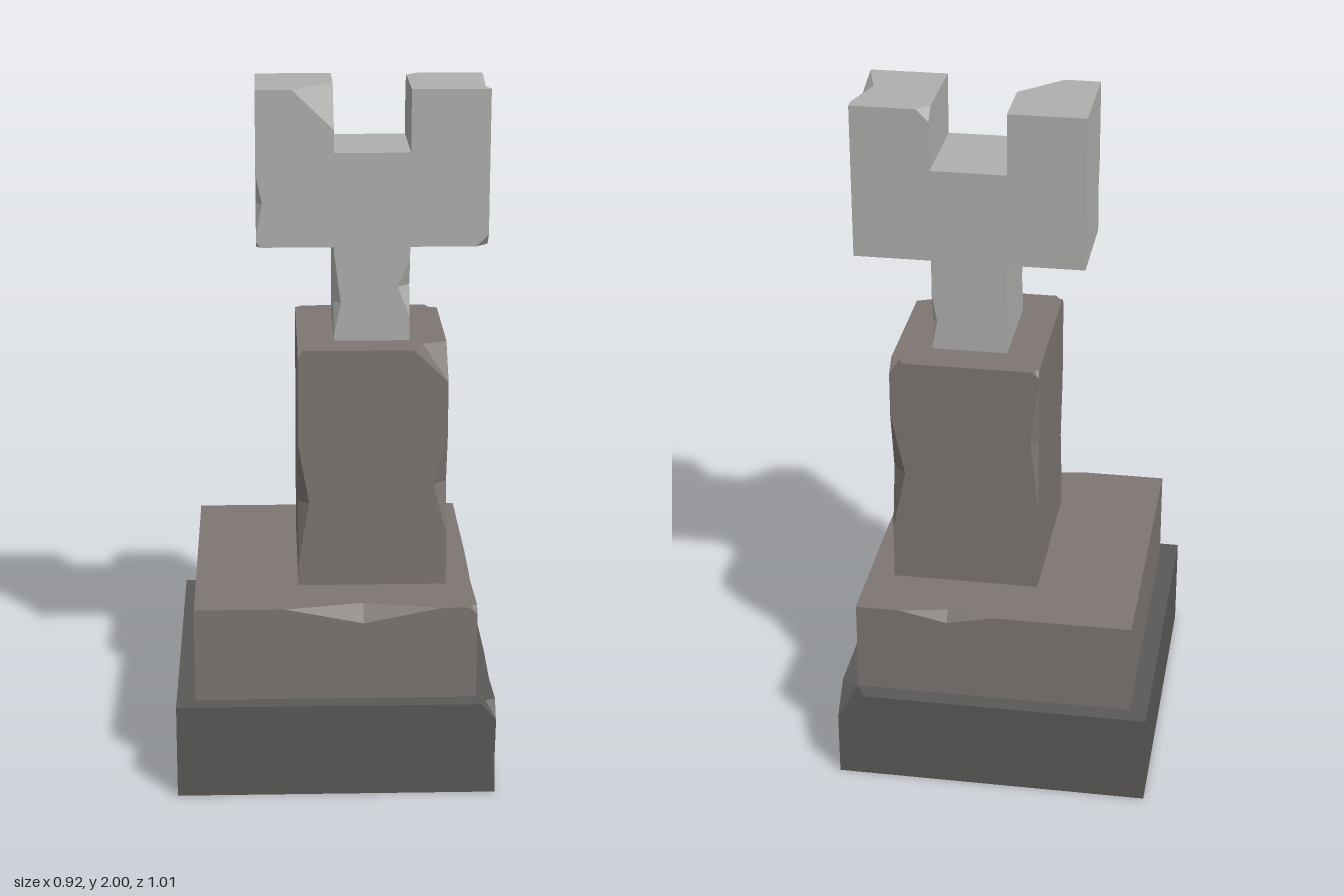
import * as THREE from 'three';

const V = (x, y, z) => new THREE.Vector3(x, y, z);

// Prism over a counter-clockwise outline, from depth h0 to h1 along z, with chipped stone edges.
// corners: { i, cap, prev, next, down, bend }  cut-off corner, sizes along its three edges
// edges:   { i, cap, t: [a, m, b], side, face } notch on the rim edge i -> i+1
// uprights:{ i, w: [a, m, b], d }              notch on the long edge at outline point i
function chippedPrism(outline, h0, h1, { corners = [], edges = [], uprights = [] }) {
  const n = outline.length;
  const pts = outline.map(([x, y]) => new THREE.Vector2(x, y));
  const wrap = (i) => (i + n) % n;
  const len = (i) => pts[i].distanceTo(pts[wrap(i + 1)]);
  const dir = (i) => pts[wrap(i + 1)].clone().sub(pts[wrap(i)]).normalize();
  const inward = (i) => { const d = dir(wrap(i)); return new THREE.Vector2(-d.y, d.x); };
  const corner = (i, cap) => corners.find((k) => k.i === wrap(i) && k.cap === cap);
  const edge = (i, cap) => edges.find((k) => k.i === i && k.cap === cap);
  const upright = (i) => uprights.find((k) => k.i === wrap(i));
  const height = (cap) => (cap ? h1 : h0);
  const onSide = (i, t, w) => {
    const p = pts[i].clone().addScaledVector(dir(i), t);
    return V(p.x, p.y, w);
  };
  // point near outline point i: back along the previous edge, forward along the next
  const near = (i, back, fwd, w) => {
    const p = pts[i].clone().addScaledVector(dir(wrap(i - 1)), -back).addScaledVector(dir(i), fwd);
    return V(p.x, p.y, w);
  };

  const pos = [];
  const tri = (a, b, c, out) => {
    const nrm = b.clone().sub(a).cross(c.clone().sub(a));
    const list = nrm.dot(out) >= 0 ? [a, b, c] : [a, c, b];
    list.forEach((p) => pos.push(p.x, p.y, p.z));
  };
  const polygon = (flat, solid, out) => {
    for (const [a, b, c] of THREE.ShapeUtils.triangulateShape(flat, [])) tri(solid[a], solid[b], solid[c], out);
  };

  // end caps
  for (const cap of [0, 1]) {
    const w = height(cap), loop = [];
    for (let i = 0; i < n; i++) {
      const k = corner(i, cap), e = edge(i, cap);
      if (k) {
        loop.push(near(i, k.prev, 0, w));
        if (k.bend) loop.push(near(i, k.bend, k.bend, w));
        loop.push(near(i, 0, k.next, w));
      } else loop.push(near(i, 0, 0, w));
      if (e) {
        const m = inward(i).multiplyScalar(e.face);
        loop.push(onSide(i, e.t[0], w), onSide(i, e.t[1], w).add(V(m.x, m.y, 0)), onSide(i, e.t[2], w));
      }
    }
    polygon(loop.map((p) => new THREE.Vector2(p.x, p.y)), loop, V(0, 0, cap ? 1 : -1));
  }

  // side faces
  for (let i = 0; i < n; i++) {
    const L = len(i), loop = [];
    const add = (t, w) => loop.push(new THREE.Vector2(t, w));
    const rim = (cap) => {
      const w = height(cap), s = cap ? -1 : 1, part = [];
      const a = corner(i, cap), e = edge(i, cap), b = corner(i + 1, cap);
      if (a) part.push([0, w + s * a.down], [a.next, w]); else part.push([0, w]);
      if (e) part.push([e.t[0], w], [e.t[1], w + s * e.side], [e.t[2], w]);
      if (b) part.push([L - b.prev, w], [L, w + s * b.down]); else part.push([L, w]);
      return part;
    };
    rim(0).forEach((p) => add(...p));
    const far = upright(i + 1), close = upright(i);
    if (far) { add(L, far.w[0]); add(L - far.d, far.w[1]); add(L, far.w[2]); }
    rim(1).reverse().forEach((p) => add(...p));
    if (close) { add(0, close.w[2]); add(close.d, close.w[1]); add(0, close.w[0]); }
    const o = inward(i);
    polygon(loop, loop.map((p) => onSide(i, p.x, p.y)), V(-o.x, -o.y, 0));
  }

  // broken faces of the chips
  const outAt = (i, z) => { const o = inward(i - 1).add(inward(i)); return V(-o.x, -o.y, z); };
  for (const k of corners) {
    const w = height(k.cap), s = k.cap ? 1 : -1, out = outAt(k.i, s);
    const a = near(k.i, k.prev, 0, w), b = near(k.i, 0, k.next, w), d = near(k.i, 0, 0, w - s * k.down);
    if (k.bend) {
      const q = near(k.i, k.bend, k.bend, w);
      tri(a, q, d, out);
      tri(q, b, d, out);
    } else tri(a, b, d, out);
  }
  for (const e of edges) {
    const w = height(e.cap), s = e.cap ? 1 : -1, o = inward(e.i), out = V(-o.x, -o.y, s);
    const p = onSide(e.i, e.t[1], w - s * e.side);
    const q = onSide(e.i, e.t[1], w).add(V(o.x * e.face, o.y * e.face, 0));
    tri(onSide(e.i, e.t[0], w), p, q, out);
    tri(onSide(e.i, e.t[2], w), p, q, out);
  }
  for (const u of uprights) {
    const out = outAt(u.i, 0), p = near(u.i, u.d, 0, u.w[1]), q = near(u.i, 0, u.d, u.w[1]);
    tri(near(u.i, 0, 0, u.w[0]), p, q, out);
    tri(near(u.i, 0, 0, u.w[2]), p, q, out);
  }

  const g = new THREE.BufferGeometry();
  g.setAttribute('position', new THREE.Float32BufferAttribute(pos, 3));
  g.computeVertexNormals();
  return g;
}

// Upright block; outline points run front left, front right, back right, back left
function block(x0, x1, z, y0, y1, chips) {
  return chippedPrism([[x0, -z], [x1, -z], [x1, z], [x0, z]], y0, y1, chips).rotateX(-Math.PI / 2);
}

const cut = (i, cap, prev, next, down, bend = 0) => ({ i, cap, prev, next, down, bend });
const notch = (i, cap, t, side, face) => ({ i, cap, t, side, face });
const nick = (i, w, d) => ({ i, w, d });

export function createModel() {
  const material = (name, color) => {
    const m = new THREE.MeshStandardMaterial({ color });
    m.name = name;
    return m;
  };
  const darkStone = material('darkStone', 0x5a5957);
  const brownStone = material('brownStone', 0x7d7672);
  const paleStone = material('paleStone', 0xafafad);

  const group = new THREE.Group();
  const add = (name, geometry, mat) => {
    const mesh = new THREE.Mesh(geometry, mat);
    mesh.name = name;
    group.add(mesh);
  };

  // stepped plinth
  add('base', block(-0.461, 0.461, 0.505, 0, 0.278, {
    corners: [cut(1, 1, 0.042, 0.04, 0.05, 0.028), cut(2, 1, 0.08, 0.083, 0.08, 0.051)],
    edges: [notch(1, 1, [0.045, 0.22, 0.385], 0.016, 0.019)],
    uprights: [nick(1, [0.04, 0.12, 0.2], 0.012)],
  }), darkStone);
  add('step', block(-0.407, 0.407, 0.451, 0.278, 0.556, {
    corners: [cut(1, 1, 0.025, 0.022, 0.02, 0.016)],
    edges: [
      notch(0, 1, [0.26, 0.487, 0.713], 0.045, 0.045),
      notch(1, 1, [0.04, 0.24, 0.42], 0.014, 0.013),
      notch(2, 1, [0.13, 0.27, 0.407], 0.03, 0.027),
    ],
  }), brownStone);

  // column, set to one side
  add('column', block(-0.104, 0.329, 0.261, 0.556, 1.27, {
    corners: [
      cut(0, 1, 0.022, 0.022, 0.022, 0.017), cut(1, 1, 0.1, 0.1, 0.095, 0.07),
      cut(2, 1, 0.037, 0.037, 0.037, 0.027), cut(3, 1, 0.018, 0.018, 0.018, 0.013),
    ],
    uprights: [
      nick(0, [0.62, 0.81, 0.99], 0.032), nick(1, [0.715, 0.865, 1.01], 0.04),
      nick(2, [0.72, 0.91, 1.1], 0.04), nick(3, [0.83, 1.04, 1.24], 0.022),
    ],
  }), brownStone);

  // forked top: neck and two arms in one slab
  const fork = [
    [0.003, 1.27], [0.222, 1.27], [0.222, 1.547], [0.447, 1.547], [0.447, 2], [0.222, 2],
    [0.222, 1.82], [0.003, 1.82], [0.003, 2], [-0.22, 2], [-0.22, 1.547], [0.003, 1.547],
  ];
  add('forkedTop', chippedPrism(fork, -0.15, 0.15, {
    corners: [
      cut(8, 1, 0.115, 0.12, 0.12), cut(3, 1, 0.035, 0.035, 0.035),
      cut(10, 1, 0.015, 0.015, 0.015), cut(5, 0, 0.035, 0.035, 0.035),
    ],
    edges: [
      notch(9, 1, [0.24, 0.325, 0.42], 0.02, 0.018),
      notch(11, 1, [0.015, 0.165, 0.265], 0.02, 0.02),
      notch(1, 1, [0.07, 0.16, 0.24], 0.032, 0.035),
      notch(1, 0, [0.01, 0.085, 0.17], 0.015, 0.015),
    ],
    uprights: [nick(4, [-0.115, 0.018, 0.148], 0.036)],
  }), paleStone);

  return group;
}
